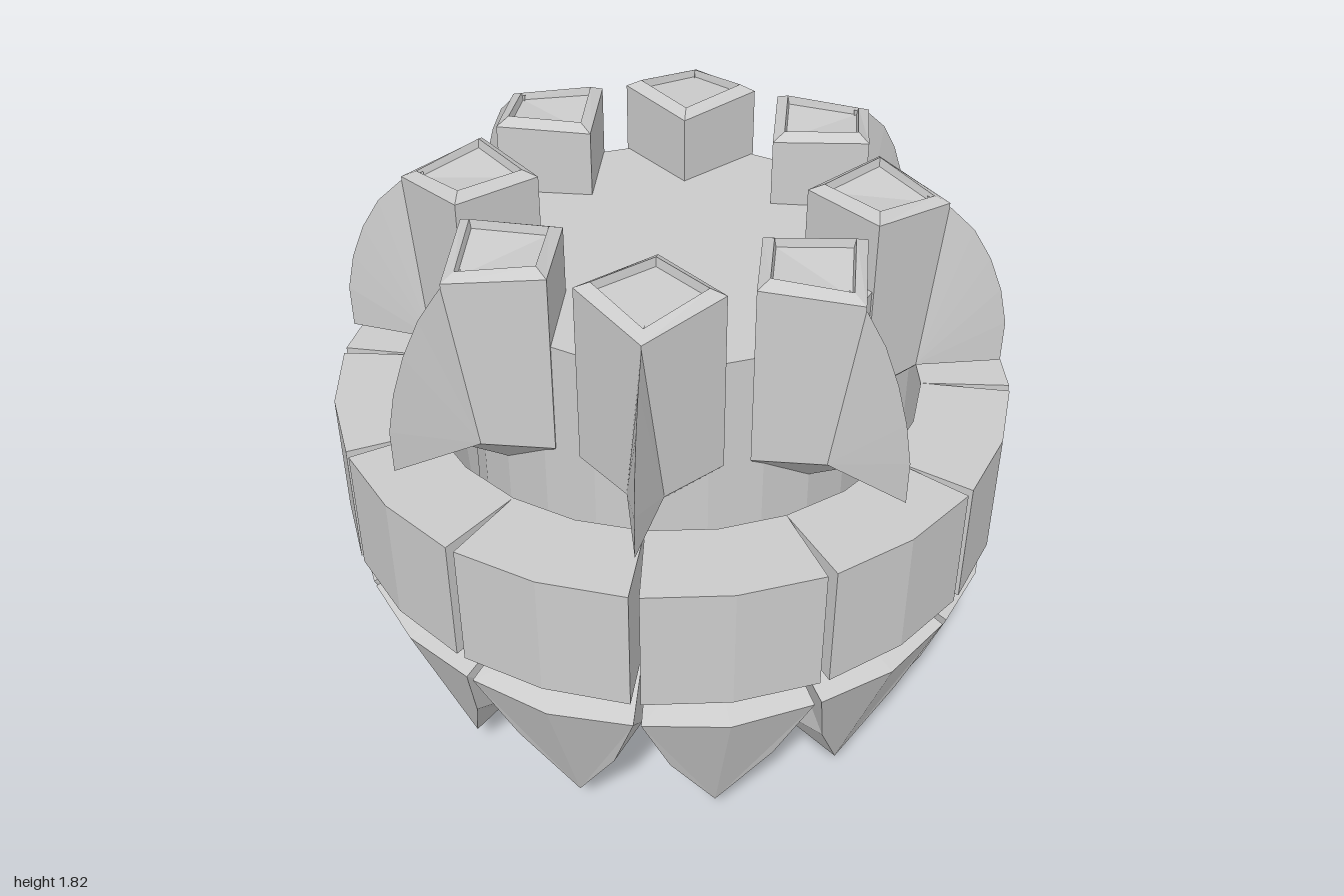
import * as THREE from 'three';

const material = new THREE.MeshStandardMaterial({ color: 0xcccccc, flatShading: true });

// Geometry from a list of triangles, each three [x, y, z] corners
function fromTriangles(tris) {
  const g = new THREE.BufferGeometry();
  g.setAttribute('position', new THREE.Float32BufferAttribute(tris.flat(2), 3));
  g.computeVertexNormals();
  return g;
}

// Skin loops of equal length (counter-clockwise seen from the last one) and cap both ends
function loft(loops) {
  const tris = [];
  const n = loops[0].length;
  for (let k = 0; k < loops.length - 1; k++) {
    const a = loops[k], b = loops[k + 1];
    for (let i = 0; i < n; i++) {
      const j = (i + 1) % n;
      tris.push([a[i], a[j], b[j]], [a[i], b[j], b[i]]);
    }
  }
  const first = loops[0], last = loops[loops.length - 1];
  for (let i = 1; i < n - 1; i++) {
    tris.push([first[0], first[i + 1], first[i]], [last[0], last[i], last[i + 1]]);
  }
  return fromTriangles(tris);
}

// Repeat a part that points along +z around the vertical axis
function radial(name, geometry, count) {
  const group = new THREE.Group();
  group.name = name + 's';
  for (let i = 0; i < count; i++) {
    const mesh = new THREE.Mesh(geometry, material);
    mesh.name = name;
    mesh.rotation.y = (i / count) * Math.PI * 2;
    group.add(mesh);
  }
  return group;
}

// Drum with a conical foot and a funnel-shaped socket underneath
function coreGeometry() {
  const profile = [
    [0, 0.4], [0.14, 0.4], [0.14, 0.12], [0.17, 0.09], [0.31, 0],
    [0.6, 0.47], [0.6, 1.59], [0, 1.59],
  ].map(([r, y]) => new THREE.Vector2(r, y));
  return new THREE.LatheGeometry(profile, 24);
}

// Curved block of the middle ring
function blockGeometry() {
  const outer = 0.248, inner = 0.262;
  const corners = [[1, 0], [1, outer], [0.74, inner], [0.74, 0], [0.74, -inner], [1, -outer]];
  const loop = (y) => corners.map(([r, a]) => [r * Math.sin(a), y, r * Math.cos(a)]);
  return loft([loop(0.77), loop(1.16)]);
}

// Pointed thick petal, lofted from its inner to its outer face
function petalGeometry() {
  const loop = (tip, mid, corner, top) => {
    const mirror = ([x, y, z]) => [-x, y, z];
    return [tip, mid, corner, top, mirror(corner), mirror(mid)];
  };
  return loft([
    loop([0, 0.17, 0.69], [0.15, 0.34, 0.65], [0.185, 0.74, 0.71], [0, 0.74, 0.73]),
    loop([0, 0.13, 0.79], [0.15, 0.4, 0.87], [0.242, 0.66, 0.945], [0, 0.65, 0.98]),
  ]);
}

// Diamond post with a tapered foot, domed top and shallow square recess
function postGeometry() {
  const diamond = (r, h, outer, side, inner) => [
    [0, outer, r + h], [h, side, r], [0, inner, r - h], [-h, side, r],
  ];
  return loft([
    diamond(0.5, 0.01, 1.06, 1.06, 1.06),
    diamond(0.57, 0.195, 1.26, 1.26, 1.26),
    diamond(0.57, 0.195, 1.77, 1.8, 1.79),
    diamond(0.57, 0.15, 1.79, 1.82, 1.81),
    diamond(0.57, 0.143, 1.77, 1.795, 1.785),
  ]);
}

// Wedge fin with a sharp rounded outer edge, fanned from the foot of the post
function finGeometry() {
  const edge = [
    [0.96, 1.26], [0.96, 1.39], [0.935, 1.5], [0.895, 1.6],
    [0.84, 1.69], [0.77, 1.755], [0.7, 1.79],
  ].map(([z, y]) => [0, y, z]);
  const right = [0.05, 1.26, 0.712], left = [-0.05, 1.26, 0.712];
  const tris = [[edge[0], left, right]];
  for (let i = 0; i < edge.length - 1; i++) {
    tris.push([edge[i], right, edge[i + 1]], [edge[i + 1], left, edge[i]]);
  }
  return fromTriangles(tris);
}

export function createModel() {
  const model = new THREE.Group();
  model.name = 'cutterHead';
  const core = new THREE.Mesh(coreGeometry(), material);
  core.name = 'core';
  model.add(
    core,
    radial('ringBlock', blockGeometry(), 12),
    radial('petal', petalGeometry(), 12),
    radial('post', postGeometry(), 8),
    radial('fin', finGeometry(), 8),
  );
  return model;
}
